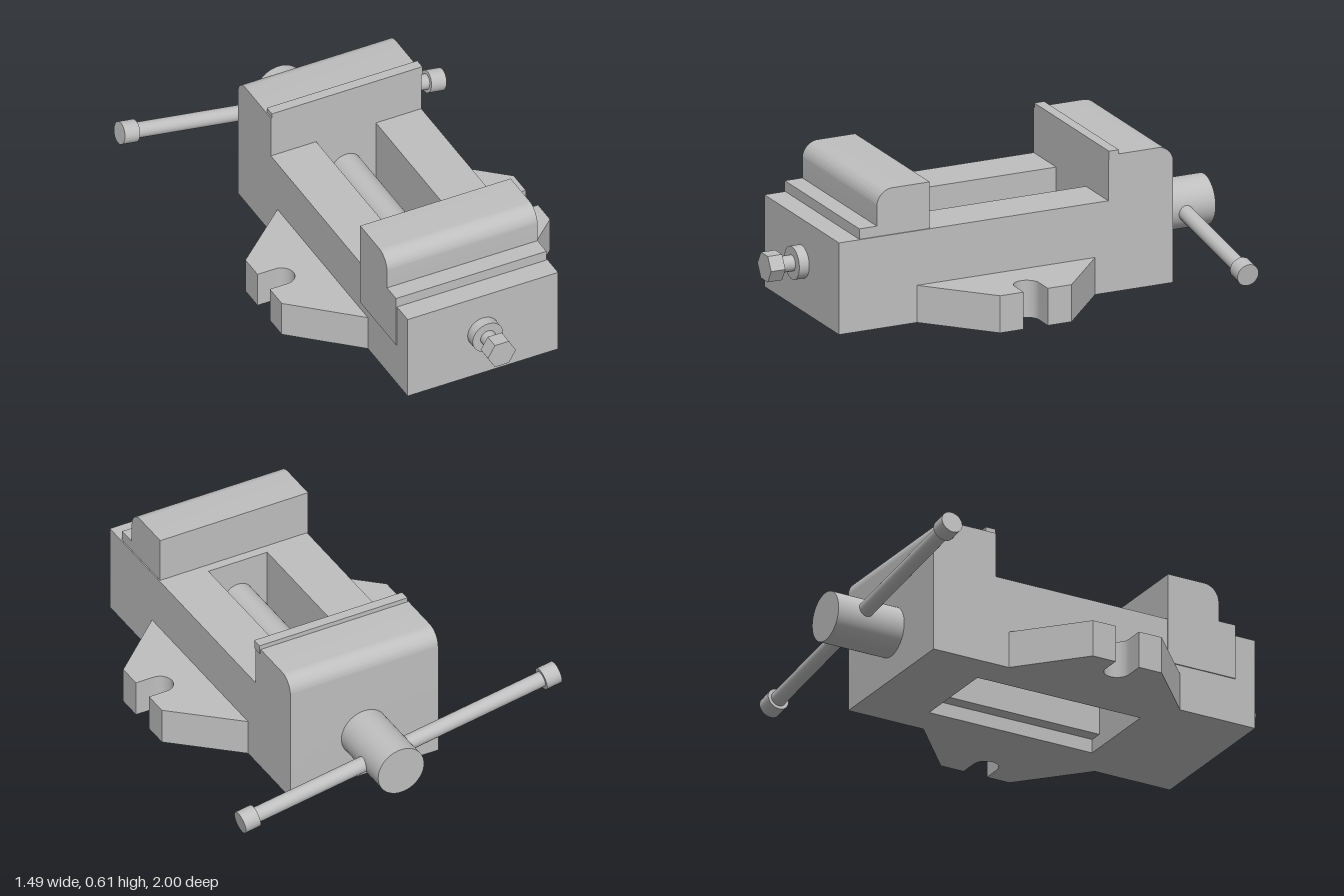
import * as THREE from 'three';
import { toCreasedNormals } from 'three/addons/utils/BufferGeometryUtils.js';

const CX = 0.06;      // centre line of the vice body
const SCREW_Y = 0.212;

export function createModel() {
  const model = new THREE.Group();
  model.name = 'drillPressVice';
  const steel = new THREE.MeshStandardMaterial({ color: 0xbfbfbf });
  steel.name = 'grey steel';

  const add = (name, geometry, parent = model) => {
    const mesh = new THREE.Mesh(geometry, steel);
    mesh.name = name;
    parent.add(mesh);
    return mesh;
  };
  const polygon = (points) => new THREE.Shape(points.map(([x, y]) => new THREE.Vector2(x, y)));
  const extrude = (shape, depth) => toCreasedNormals(
    new THREE.ExtrudeGeometry(shape, { depth, bevelEnabled: false, curveSegments: 14 }), 0.5);
  // side profile in (z, y), swept between two x positions
  const sideProfile = (shape, x0, x1) => extrude(shape, x1 - x0).rotateY(-Math.PI / 2).translate(x1, 0, 0);
  const box = (x0, x1, y0, y1, z0, z1) => new THREE.BoxGeometry(x1 - x0, y1 - y0, z1 - z0)
    .translate((x0 + x1) / 2, (y0 + y1) / 2, (z0 + z1) / 2);
  // cylinder or prism lying along z on the screw axis
  const alongZ = (r, z0, z1, sides = 40) => new THREE.CylinderGeometry(r, r, z1 - z0, sides)
    .rotateX(Math.PI / 2).translate(CX, SCREW_Y, (z0 + z1) / 2);

  // front end of the body
  add('bodyFront', box(-0.285, 0.405, 0, 0.395, 0.375, 0.83));

  // rear end of the body rising into the fixed jaw
  const rear = new THREE.Shape();
  rear.moveTo(-0.69, 0);
  rear.lineTo(-0.395, 0);
  rear.lineTo(-0.395, 0.59);
  rear.lineTo(-0.62, 0.59);
  rear.absarc(-0.62, 0.52, 0.07, Math.PI / 2, Math.PI, false);
  rear.lineTo(-0.69, 0);
  add('fixedJaw', sideProfile(rear, -0.285, 0.405));
  add('fixedJawLip', box(-0.28, 0.41, 0.57, 0.61, -0.44, -0.395));

  // side rails, undercut along the bottom of the slot, and mounting wings
  for (const side of [1, -1]) {
    const label = side > 0 ? 'left' : 'right';
    const rail = polygon([[0.195, 0], [0.345, 0], [0.345, 0.395], [0.137, 0.395], [0.137, 0.06], [0.195, 0.06]]
      .map(([x, y]) => [CX + side * x, y]));
    add(label + 'Rail', extrude(rail, 0.77).translate(0, 0, -0.395));

    // drawn in (x, -z) and laid flat
    const wing = new THREE.Shape();
    wing.moveTo(0.345, -0.475);
    wing.lineTo(0.615, -0.23);
    wing.lineTo(0.615, -0.123);
    wing.lineTo(0.533, -0.123);
    wing.absarc(0.533, -0.068, 0.055, -Math.PI / 2, Math.PI / 2, true);
    wing.lineTo(0.615, -0.013);
    wing.lineTo(0.615, 0.095);
    wing.lineTo(0.345, 0.335);
    const outline = wing.getPoints(14).map((p) => [CX + side * p.x, p.y]);
    add(label + 'Wing', extrude(polygon(outline), 0.16).rotateX(-Math.PI / 2));
  }

  // moving jaw with rounded front edge and step
  const jaw = new THREE.Shape();
  jaw.moveTo(0.415, 0.2);
  jaw.lineTo(0.735, 0.2);
  jaw.lineTo(0.735, 0.44);
  jaw.lineTo(0.655, 0.44);
  jaw.lineTo(0.655, 0.525);
  jaw.absarc(0.585, 0.525, 0.07, 0, Math.PI / 2, false);
  jaw.lineTo(0.415, 0.595);
  add('movingJaw', sideProfile(jaw, -0.29, 0.4));

  // lead screw, front collar, neck and hex nut, rear hub
  add('leadScrew', alongZ(0.07, -0.4, 0.38));
  add('collar', alongZ(0.07, 0.82, 0.875));
  add('neck', alongZ(0.034, 0.87, 0.94, 24));
  const hex = new THREE.CylinderGeometry(0.064, 0.064, 0.065, 6).toNonIndexed();
  hex.computeVertexNormals();
  hex.rotateY(Math.PI / 2).rotateX(Math.PI / 2).translate(CX, SCREW_Y, 0.9675);
  add('hexNut', hex);
  add('hub', alongZ(0.107, -1, -0.68, 48));

  // tilted cross handle with end caps
  const handle = new THREE.Group();
  handle.name = 'handle';
  handle.position.set(0, 0.226, -0.867);
  handle.rotation.z = -0.163;
  model.add(handle);
  const alongX = (r, x0, x1) => new THREE.CylinderGeometry(r, r, x1 - x0, 28)
    .rotateZ(Math.PI / 2).translate((x0 + x1) / 2, 0, 0);
  add('handleBar', alongX(0.033, -0.7, 0.7), handle);
  add('rightCap', alongX(0.048, -0.747, -0.677), handle);
  add('leftCap', alongX(0.048, 0.677, 0.747), handle);

  return model;
}
